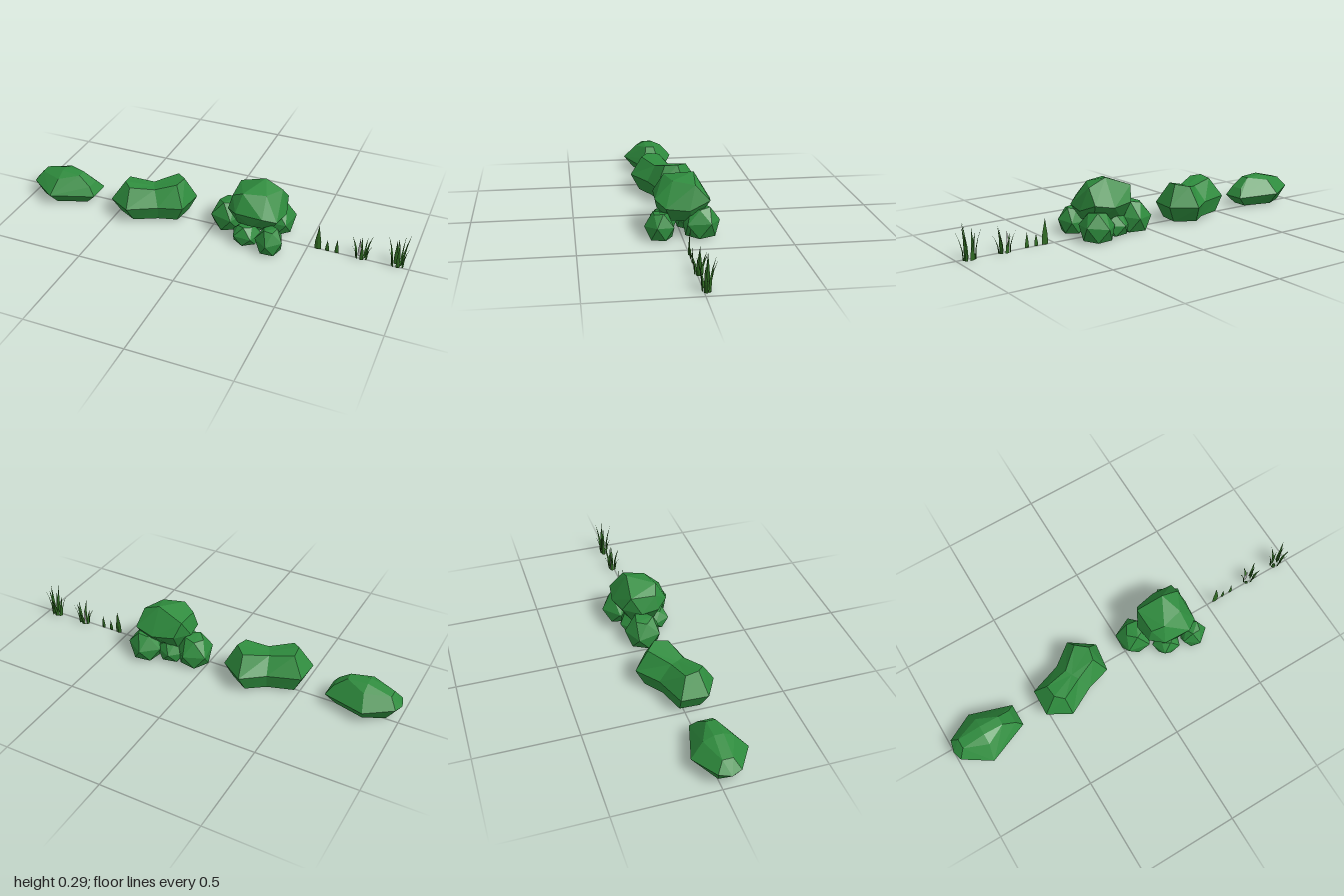
import * as THREE from 'three';
import { ConvexGeometry } from 'three/addons/geometries/ConvexGeometry.js';

const leaf = new THREE.MeshStandardMaterial({ color: 0x2e8b3d, flatShading: true });
const grass = new THREE.MeshStandardMaterial({ color: 0x2f6b22, flatShading: true, side: THREE.DoubleSide });
const grey = new THREE.MeshStandardMaterial({ color: 0xcccccc, flatShading: true, side: THREE.DoubleSide });

function mesh(name, geometry, material) {
  const m = new THREE.Mesh(geometry, material);
  m.name = name;
  return m;
}

// Faceted convex clump from corner points
function clump(name, points) {
  return mesh(name, new ConvexGeometry(points.map(p => new THREE.Vector3(...p))), leaf);
}

// Closed skin through rings of equal length, bottom to top
function loft(name, rings, bottom, top) {
  const n = rings[0].length, out = [];
  for (let i = 0; i < n; i++) {
    const j = (i + 1) % n;
    for (let r = 0; r < rings.length - 1; r++) {
      const a = rings[r], b = rings[r + 1];
      out.push(...a[i], ...b[i], ...a[j], ...a[j], ...b[i], ...b[j]);
    }
    const first = rings[0], last = rings[rings.length - 1];
    out.push(...bottom, ...first[i], ...first[j], ...top, ...last[j], ...last[i]);
  }
  const g = new THREE.BufferGeometry();
  g.setAttribute('position', new THREE.Float32BufferAttribute(out, 3));
  g.computeVertexNormals();
  return mesh(name, g, leaf);
}

// Small rounded clump: wide belt, narrower foot and crown
function smallClump(name, x, z, rx, rz, h, turn) {
  const pts = [];
  const levels = [[0.005, 0.78, 0], [h * 0.5, 1, 0.5], [h * 0.95, 0.5, 0]];
  for (const [y, s, shift] of levels) {
    for (let i = 0; i < 5; i++) {
      const a = turn + (i + shift) * Math.PI * 0.4;
      pts.push([x + Math.cos(a) * rx * s, y + (y > 0.01 ? 0.05 * h * Math.sin(i * 2) : 0), z + Math.sin(a) * rz * s]);
    }
  }
  return clump(name, pts);
}

// Tapered, four-sided blade that curves outward in direction angle
function blade(x, z, h, w, angle, lean, material = grass) {
  const g = new THREE.CylinderGeometry(0, w / 2, h, 4, 3, true);
  g.translate(0, h / 2, 0);
  const p = g.attributes.position;
  for (let i = 0; i < p.count; i++) {
    const t = p.getY(i) / h;
    const swell = 1 + 0.4 * Math.sin(t * Math.PI);
    p.setX(i, p.getX(i) * 0.35 + lean * t * t);
    p.setZ(i, p.getZ(i) * swell);
  }
  g.rotateY(-angle);
  g.translate(x, 0, z);
  g.computeVertexNormals();
  return mesh('grassBlade', g, material);
}

// Ring of blades around taller middle blades
function tuft(name, x, z, height, spread, middle) {
  const group = new THREE.Group();
  group.name = name;
  const heights = [0.72, 0.9, 0.62, 0.8, 0.68, 0.92];
  heights.forEach((k, i) => {
    const a = i * Math.PI / 3 + 0.35;
    group.add(blade(x + Math.cos(a) * spread * 0.5, z + Math.sin(a) * spread * 0.3,
      height * k, 0.018, a, spread * 0.55));
  });
  group.add(blade(x + 0.015, z - 0.005, height, 0.018, 0.4, 0.012));
  group.add(blade(x - 0.012, z - 0.012, height * 0.8, 0.018, 1.6, 0.006, middle));
  return group;
}

export function createModel() {
  const model = new THREE.Group();
  model.name = 'bushesAndGrass';

  // Low oval bush
  model.add(clump('ovalBush', [
    [-0.94, 0.005, 0.0], [-0.94, 0.005, 0.08], [-0.84, 0.005, -0.05], [-0.84, 0.005, 0.125],
    [-0.69, 0.005, -0.01], [-0.69, 0.005, 0.07],
    [-1, 0.07, 0.04], [-0.985, 0.08, -0.02], [-0.985, 0.08, 0.09], [-0.85, 0.065, -0.095],
    [-0.85, 0.065, 0.175], [-0.64, 0.055, -0.03], [-0.64, 0.055, 0.085],
    [-0.95, 0.128, 0.01], [-0.95, 0.128, 0.06], [-0.83, 0.135, -0.035], [-0.83, 0.135, 0.11],
    [-0.83, 0.158, 0.015], [-0.83, 0.158, 0.06], [-0.73, 0.15, 0.015], [-0.73, 0.15, 0.06],
    [-0.67, 0.1, 0.0], [-0.67, 0.1, 0.07],
  ]));

  // Saddle-shaped bush
  const belt = [[-0.515, -0.025], [-0.355, -0.08], [-0.245, -0.165], [-0.125, -0.08],
    [-0.145, 0.065], [-0.265, 0.1], [-0.405, 0.175], [-0.52, 0.11]];
  const crown = [[-0.455, 0.185, 0.015], [-0.335, 0.165, -0.015], [-0.235, 0.19, -0.1], [-0.18, 0.2, -0.05],
    [-0.195, 0.195, 0.015], [-0.3, 0.165, 0.055], [-0.41, 0.185, 0.115], [-0.45, 0.195, 0.08]];
  model.add(loft('saddleBush', [
    belt.map(([x, z]) => [-0.325 + (x + 0.325) * 0.8, 0.01, z * 0.75]),
    belt.map(([x, z]) => [x, 0.09, z]),
    crown,
  ], [-0.325, 0.01, 0], [-0.32, 0.165, 0.02]));

  // Clustered bush with a large crown on smaller clumps
  const cluster = new THREE.Group();
  cluster.name = 'clusteredBush';
  cluster.add(clump('crownClump', [
    [0.15, 0.07, -0.06], [0.32, 0.07, -0.06], [0.15, 0.08, 0.05], [0.32, 0.08, 0.05],
    [0.09, 0.155, -0.03], [0.1, 0.16, 0.06], [0.14, 0.17, -0.12], [0.25, 0.16, -0.145],
    [0.35, 0.18, -0.13], [0.375, 0.14, -0.03], [0.36, 0.15, 0.08], [0.24, 0.12, 0.11],
    [0.3, 0.18, 0.125], [0.16, 0.18, 0.12],
    [0.115, 0.245, -0.08], [0.25, 0.295, -0.065], [0.34, 0.255, -0.06],
    [0.29, 0.265, 0.04], [0.18, 0.268, 0.07], [0.12, 0.235, 0.05],
  ]));
  cluster.add(smallClump('leftSideClump', 0.07, -0.03, 0.095, 0.095, 0.155, 0.5));
  cluster.add(smallClump('backClump', 0.315, -0.09, 0.09, 0.095, 0.145, 0.2));
  cluster.add(smallClump('frontCornerClump', 0.335, 0.105, 0.072, 0.075, 0.13, 0.9));
  cluster.add(smallClump('frontMiddleClump', 0.2, 0.075, 0.075, 0.07, 0.1, 0.3));
  cluster.add(smallClump('innerClump', 0.19, -0.05, 0.08, 0.075, 0.11, 0.1));
  model.add(cluster);

  // Three single blades
  model.add(blade(0.55, 0, 0.13, 0.034, Math.PI / 2, -0.006));
  model.add(blade(0.597, 0, 0.06, 0.02, Math.PI / 2, -0.002));
  model.add(blade(0.645, 0, 0.075, 0.02, Math.PI / 2, -0.002));

  // Two tufts of grass
  model.add(tuft('shortTuft', 0.765, -0.008, 0.13, 0.055, grey));
  model.add(tuft('tallTuft', 0.94, -0.012, 0.18, 0.057, grass));
  return model;
}
